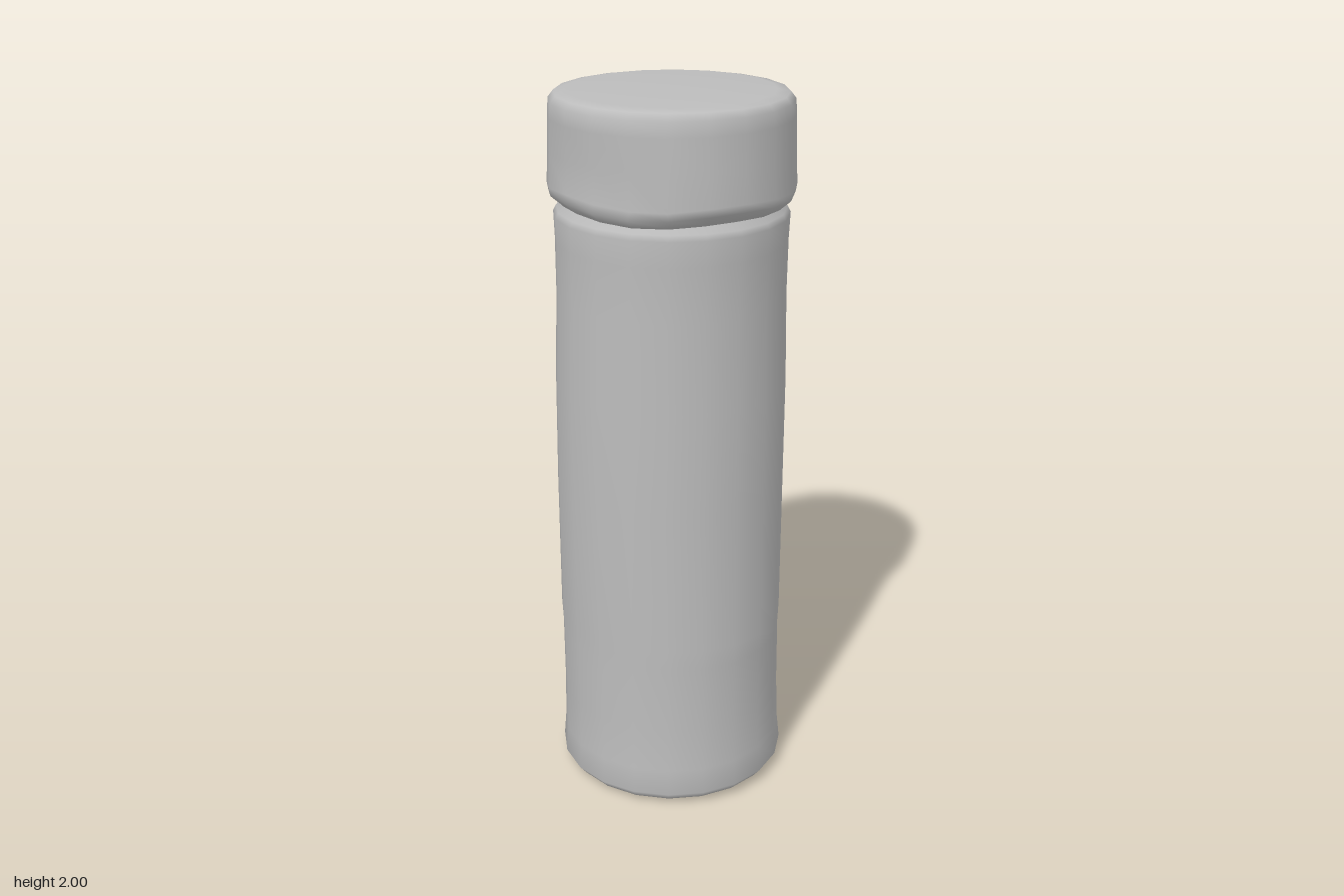
import * as THREE from 'three';
import { mergeVertices } from 'three/addons/utils/BufferGeometryUtils.js';

const SIDES = 20;

// Turn a profile of [radius, height] points, then bend each vertex by a rule
function turned(name, profile, material, bend) {
  let geo = new THREE.LatheGeometry(profile.map(([r, y]) => new THREE.Vector2(r, y)), SIDES);
  geo.deleteAttribute('uv');
  geo.deleteAttribute('normal');
  const pos = geo.attributes.position;
  const v = new THREE.Vector3();
  for (let i = 0; i < pos.count; i++) {
    v.fromBufferAttribute(pos, i);
    bend(v);
    pos.setXYZ(i, v.x, v.y, v.z);
  }
  geo = mergeVertices(geo, 1e-4);
  geo.computeVertexNormals();
  const mesh = new THREE.Mesh(geo, material);
  mesh.name = name;
  return mesh;
}

export function createModel() {
  const grey = new THREE.MeshStandardMaterial({ color: 0xbcbcbc });
  grey.name = 'plain grey';
  const group = new THREE.Group();
  group.name = 'jar';

  // Body with a slightly flared foot and a tucked-in neck
  group.add(turned('body', [
    [0, 0.012], [0.2, 0.008], [0.27, 0.004], [0.305, 0.02], [0.325, 0.045], [0.318, 0.12],
    [0.315, 0.25], [0.315, 0.44], [0.318, 0.5], [0.319, 0.9], [0.318, 1.2], [0.312, 1.45],
    [0.313, 1.6], [0.316, 1.67], [0.308, 1.685], [0.295, 1.7], [0.285, 1.72],
  ], grey, (v) => {
    const a = Math.atan2(v.z, v.x);
    const mid = Math.sin(Math.PI * THREE.MathUtils.clamp(v.y / 1.7, 0, 1));
    // gentle unevenness around the wall
    const s = 1 + 0.008 * mid * Math.sin(3 * a + 1 + v.y);
    v.x = v.x * s - 0.006 * mid;
    v.z *= s;
    // shallow dent low on the back
    if (v.z < -0.2 && v.y > 0.1 && v.y < 0.46) v.z += 0.012;
  }));

  // Cap with a rounded rim, wider than the neck
  group.add(turned('cap', [
    [0.285, 1.69], [0.3, 1.705], [0.327, 1.728], [0.331, 1.75], [0.327, 1.84], [0.325, 1.93],
    [0.322, 1.97], [0.308, 1.988], [0.275, 1.994], [0.14, 1.998], [0, 2],
  ], grey, (v) => {
    const a = Math.atan2(v.z, v.x);
    // wavy lower edge
    if (v.y < 1.76) v.y += 0.006 * Math.sin(4 * a);
    // soft pinch at the front of the cap
    if (v.y > 1.74 && v.y < 1.9 && v.z > 0.3) v.z -= 0.01;
  }));

  return group;
}
